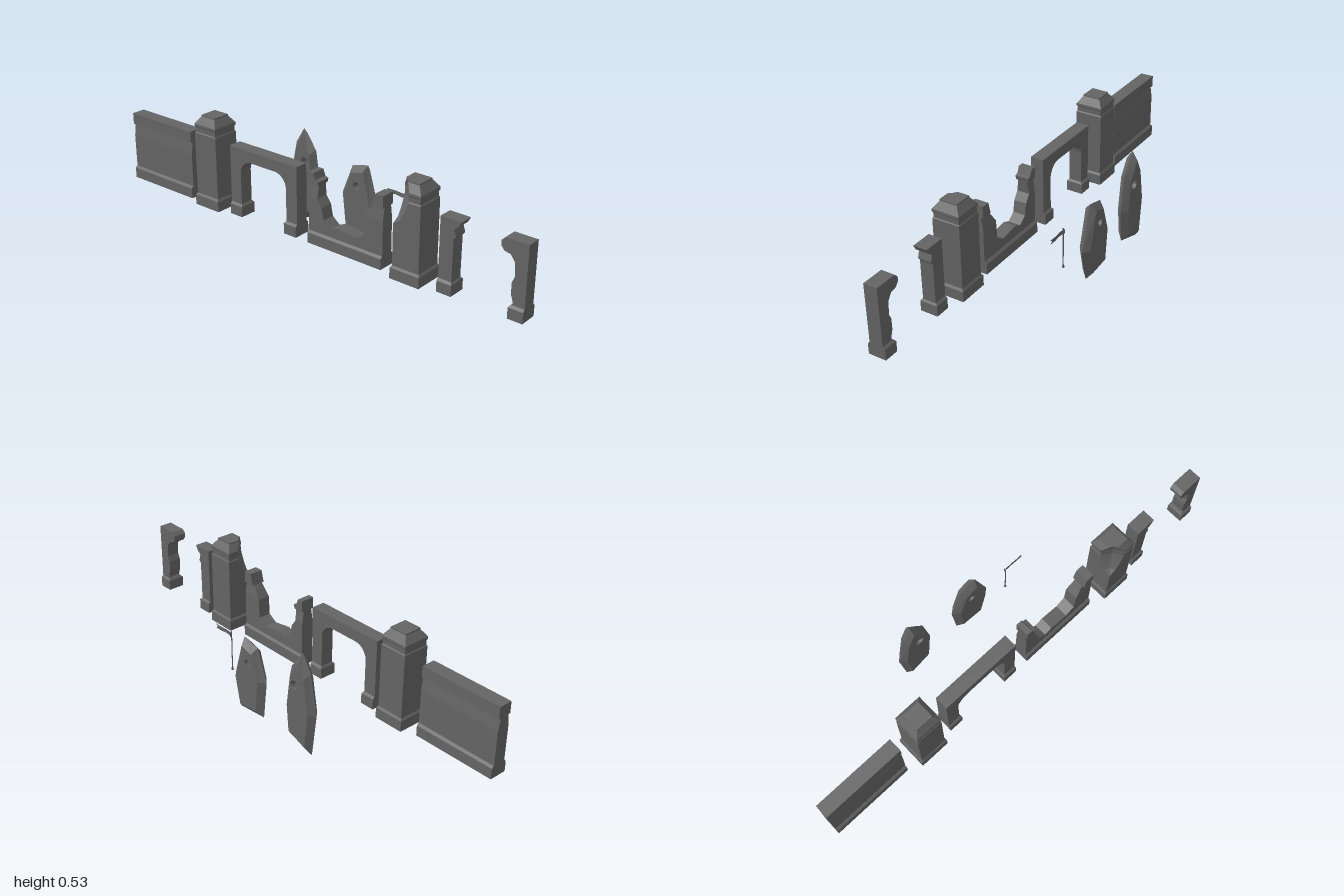
import * as THREE from 'three';

const stone = new THREE.MeshStandardMaterial({ color: 0x646464, flatShading: true });
const sheet = new THREE.MeshStandardMaterial({ color: 0x646464, flatShading: true, side: THREE.DoubleSide });
const WALL_X = -0.13;

function addMesh(parent, name, geometry, x = 0, y = 0, z = 0, material = stone) {
  const mesh = new THREE.Mesh(geometry, material);
  mesh.name = name;
  mesh.position.set(x, y, z);
  parent.add(mesh);
  return mesh;
}

// Closed solid from stacked horizontal rings of [x, y, z]
function loft(rings) {
  const n = rings[0].length, pos = [];
  const tri = (a, b, c) => pos.push(...a, ...b, ...c);
  for (let i = 0; i < rings.length - 1; i++) {
    const lo = rings[i], hi = rings[i + 1];
    for (let j = 0; j < n; j++) {
      const k = (j + 1) % n;
      tri(lo[j], lo[k], hi[k]);
      tri(lo[j], hi[k], hi[j]);
    }
  }
  const top = rings[rings.length - 1], bottom = rings[0];
  for (let j = 1; j < n - 1; j++) {
    tri(top[0], top[j], top[j + 1]);
    tri(bottom[0], bottom[j + 1], bottom[j]);
  }
  const g = new THREE.BufferGeometry();
  g.setAttribute('position', new THREE.Float32BufferAttribute(pos, 3));
  g.computeVertexNormals();
  return g;
}

// Wall solid from levels of [y, half thickness, z start, z end]
const stack = (levels) => loft(levels.map(([y, h, z0, z1]) => [[h, y, z1], [h, y, z0], [-h, y, z0], [-h, y, z1]]));

const toShape = (pts) => new THREE.Shape(pts.map(([z, y]) => new THREE.Vector2(z, y)));

// Side outline in (z, y), given a thickness along x
function slab(shape, half, steps = 1) {
  const g = new THREE.ExtrudeGeometry(shape, { depth: 2 * half, steps, bevelEnabled: false, curveSegments: 8 });
  return g.translate(0, 0, -half).rotateY(-Math.PI / 2);
}

// Plinth under a wall; inset0 and inset1 slope the two ends of its top
function plinth(parent, z0, z1, inset0 = 0, inset1 = 0) {
  addMesh(parent, 'plinth', stack([[0.125, 0.038, z0, z1], [0.17, 0.038, z0, z1],
    [0.179, 0.029, z0 + inset0, z1 - inset1]]));
}

// Square pillar with cap; the broken one has a scooped corner
function pillar(name, z, broken) {
  const levels = [[0.125, 0.0665], [0.17, 0.0665], [0.179, 0.06], [0.35, 0.06], [0.37, 0.06], [0.39, 0.06],
    [0.42, 0.06], [0.45, 0.06], [0.455, 0.0565], [0.475, 0.0565], [0.479, 0.06], [0.49, 0.06],
    [0.52, 0.0385], [0.526, 0.0385]];
  const rings = levels.map(([y, h]) => {
    const c = 0.12 - 0.068 * Math.sqrt(Math.min(1, Math.max(0, (y - 0.35) / 0.1)));
    const L = broken && y > 0.35 ? Math.max(0, 2 * h - c) : 0;
    const m = -h + L * 0.6;
    return [[h, y, h], [h, y, -h], [-h + L, y, -h], [m, y, m], [-h, y, -h + L], [-h, y, h]];
  });
  const g = new THREE.Group();
  g.name = name;
  addMesh(g, 'pillarBody', loft(rings));
  g.position.set(WALL_X, 0, z);
  return g;
}

function wallGroup(name) {
  const g = new THREE.Group();
  g.name = name;
  g.position.x = WALL_X;
  return g;
}

// Whole panel wall: the body slopes in under an overhanging rail
function panelWall() {
  const g = wallGroup('panelWall'), z0 = -1, z1 = -0.638;
  plinth(g, z0, z1);
  const profile = [[0.179, 0.028], [0.323, 0.028], [0.377, 0.02], [0.377, 0.03], [0.427, 0.03]];
  addMesh(g, 'panel', stack(profile.map(([y, h]) => [y, h, z0, z1])));
  return g;
}

// Panel wall with its middle broken away
function brokenPanelWall() {
  const g = wallGroup('brokenPanelWall'), z0 = 0.02, z1 = 0.383;
  plinth(g, z0, z1);
  addMesh(g, 'brokenPanel', slab(toShape([[z1, 0.179], [z1, 0.323], [0.297, 0.323], [0.292, 0.24],
    [0.25, 0.215], [0.2, 0.223], [0.165, 0.228], [0.13, 0.212], [0.095, 0.24], [0.085, 0.29],
    [0.062, 0.323], [z0, 0.323], [z0, 0.179]]), 0.028));
  addMesh(g, 'frontStump', stack([[0.323, 0.028, 0.297, z1], [0.377, 0.02, 0.333, z1],
    [0.377, 0.03, 0.333, z1], [0.427, 0.03, 0.346, z1]]));
  addMesh(g, 'backStump', stack([[0.323, 0.028, z0, 0.062], [0.377, 0.02, z0, 0.066], [0.377, 0.03, z0, 0.066],
    [0.395, 0.03, z0, 0.07], [0.4, 0.03, z0, 0.055], [0.427, 0.03, z0, 0.045]]));
  return g;
}

// Archway with rounded upper corners
function archway() {
  const g = wallGroup('archway');
  const z0 = -0.405, z1 = -0.043, i0 = -0.348, i1 = -0.1, top = 0.377, r = 0.06;
  const s = new THREE.Shape();
  s.moveTo(z0, 0.175);
  s.lineTo(i0, 0.175);
  s.lineTo(i0, top - r);
  s.absarc(i0 + r, top - r, r, Math.PI, Math.PI / 2, true);
  s.absarc(i1 - r, top - r, r, Math.PI / 2, 0, true);
  s.lineTo(i1, 0.175);
  s.lineTo(z1, 0.175);
  s.lineTo(z1, 0.427);
  s.lineTo(z0, 0.427);
  s.closePath();
  addMesh(g, 'arch', slab(s, 0.029));
  plinth(g, z0, i0 + 0.007, 0, 0.007);
  plinth(g, i1 - 0.007, z1, 0.007, 0);
  return g;
}

// The two remaining legs of a collapsed arch
function brokenArch() {
  const g = wallGroup('brokenArch');
  addMesh(g, 'frontLeg', slab(toShape([[1, 0.175], [1, 0.427], [0.905, 0.427], [0.89, 0.412], [0.891, 0.392],
    [0.905, 0.375], [0.93, 0.37], [0.948, 0.345], [0.952, 0.29], [0.942, 0.265], [0.942, 0.22],
    [0.953, 0.185], [0.948, 0.175]]), 0.029));
  plinth(g, 0.938, 1, 0.007, 0);
  addMesh(g, 'backLeg', slab(toShape([[0.638, 0.175], [0.696, 0.175], [0.697, 0.35], [0.707, 0.362], [0.698, 0.39],
    [0.716, 0.405], [0.728, 0.427], [0.638, 0.427]]), 0.029));
  plinth(g, 0.638, 0.702, 0, 0.007);
  return g;
}

// Faceted standing stone: the middle ring is pushed out to a ridge
function standingStone(name, outline, hz, hy, r) {
  const box = new THREE.Box2().setFromPoints(outline.map(([z, y]) => new THREE.Vector2(z, y)));
  const c = box.getCenter(new THREE.Vector2()), kz = 0.7, ky = 0.83;
  const s = toShape(outline.map(([z, y]) => [c.x + (z - c.x) * kz, c.y + (y - c.y) * ky]));
  s.holes.push(new THREE.Path().absarc(hz, hy, r, 0, Math.PI * 2, true));
  const geo = slab(s, 0.0245, 2), p = geo.attributes.position;
  for (let i = 0; i < p.count; i++) {
    const y = p.getY(i), z = p.getZ(i);
    if (Math.abs(p.getX(i)) > 0.001 || Math.hypot(z - hz, y - hy) < r + 0.001) continue;
    p.setY(i, c.y + (y - c.y) / ky);
    p.setZ(i, c.x + (z - c.x) / kz);
  }
  geo.computeVertexNormals();
  const g = new THREE.Group();
  g.name = name;
  addMesh(g, 'stone', geo, 0.1725);
  return g;
}

// Slim pole with a swallow-tailed pennant
function flag() {
  const g = new THREE.Group();
  g.name = 'flag';
  g.position.set(0.133, 0, 0.186);
  addMesh(g, 'foot', new THREE.CylinderGeometry(0.003, 0.0055, 0.014, 8), 0, 0.132);
  addMesh(g, 'pole', new THREE.CylinderGeometry(0.0022, 0.0022, 0.17, 8), 0, 0.22);
  addMesh(g, 'clasp', new THREE.BoxGeometry(0.007, 0.018, 0.004), 0.004, 0.292);
  const cloth = new THREE.ShapeGeometry(toShape([[0, 0.284], [0.035, 0.287], [0.065, 0.283], [0.1, 0.285], [0.085, 0.293],
    [0.1, 0.303], [0.065, 0.301], [0.035, 0.304], [0, 0.302]])).rotateY(-Math.PI / 2);
  addMesh(g, 'pennant', cloth, 0.003, 0, 0, sheet);
  return g;
}

export function createModel() {
  const model = new THREE.Group();
  model.name = 'ruinedWallSet';
  model.add(
    panelWall(), brokenPanelWall(), archway(), brokenArch(),
    pillar('pillar', -0.517, false), pillar('brokenPillar', 0.513, true), flag(),
    standingStone('shortStone', [[0.052, 0.355], [-0.028, 0.335], [-0.081, 0.2], [-0.062, 0.03], [0.076, 0.018], [0.114, 0.16]],
      0.01, 0.26, 0.016),
    standingStone('tallStone', [[-0.293, 0.433], [-0.337, 0.36], [-0.372, 0.19], [-0.348, 0], [-0.218, 0.04], [-0.203, 0.18],
      [-0.23, 0.35]], -0.272, 0.292, 0.02));
  return model;
}
